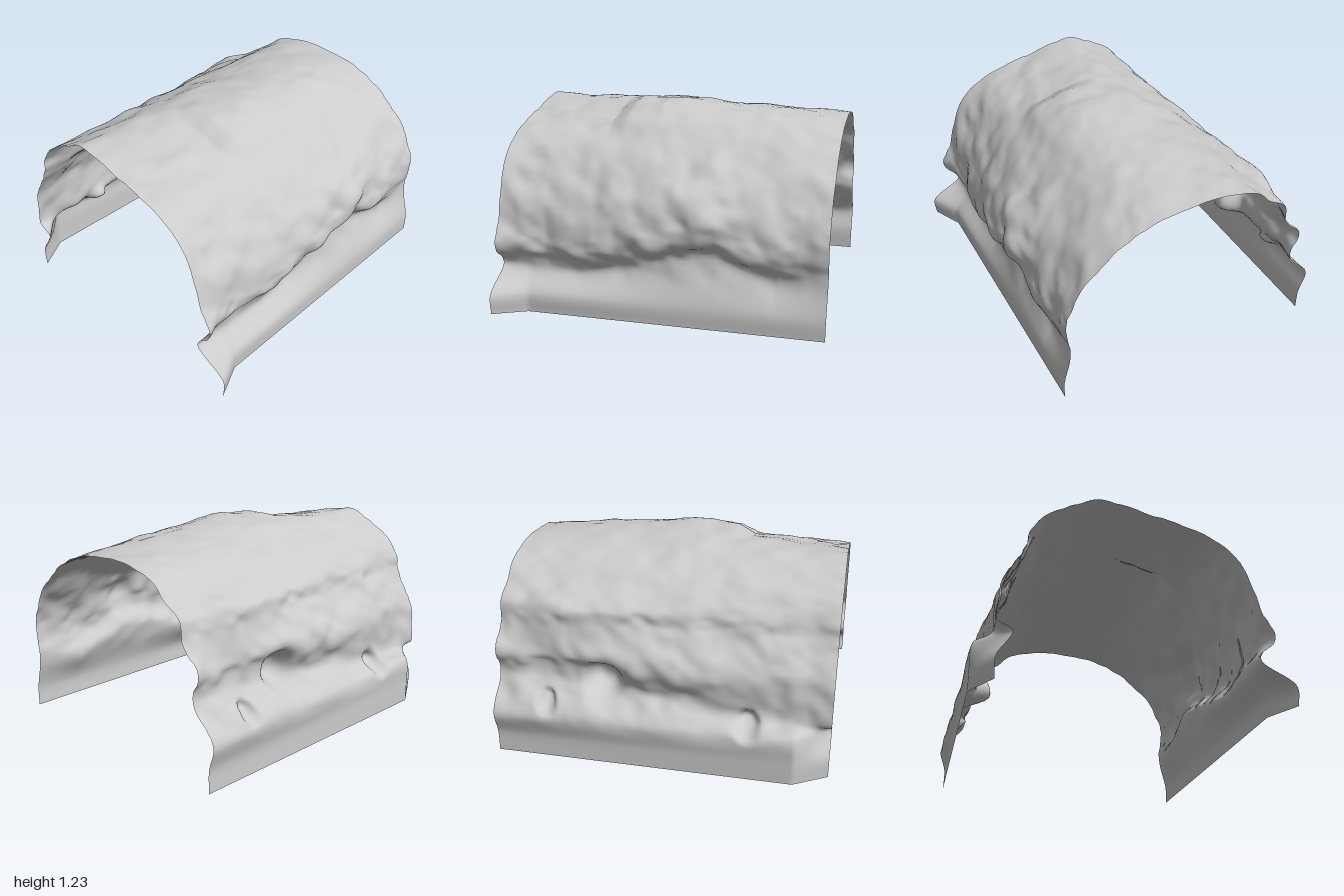
import * as THREE from 'three';

const AROUND = 140, ALONG = 120;
const { lerp, smoothstep } = THREE.MathUtils;

// Value that runs linearly through [z, value] stops
function along(z, stops) {
  let s = 0;
  while (s < stops.length - 2 && z > stops[s + 1][0]) s++;
  const [[z0, v0], [z1, v1]] = [stops[s], stops[s + 1]];
  return lerp(v0, v1, (z - z0) / (z1 - z0));
}

// Arch cross-section at depth z, from the -x foot over the crown to the +x foot
function archCurve(z) {
  const leftFoot = along(z, [[-1, -.88], [.8, -.87], [1, -.75]]);
  const rightFoot = along(z, [[-1, .77], [.8, .81], [1, .91]]);
  const lip = along(z, [[-1, -.03], [.8, .01], [1, .08]]);
  const leftLedge = along(z, [[-1, .49], [0, .42], [1, .34]]);
  const leftWall = along(z, [[-1, -.78], [.1, -.8], [1, -.71]]);
  const shoulder = along(z, [[-1, -.68], [-.6, -.75], [0, -.68], [1, -.6]]);
  const leftCrown = along(z, [[-1, 1.14], [.1, 1.2], [1, 1.18]]);
  const crown = along(z, [[-1, 1.13], [-.2, 1.2], [.1, 1.23], [.3, 1.21], [.4, 1.16], [1, 1.12]]);
  const haunch = along(z, [[-1, .41], [0, .47], [1, .46]]);
  const brow = along(z, [[-1, .64], [-.1, .72], [.7, .65], [1, .67]]);
  const rightWall = along(z, [[-1, .73], [-.2, .8], [.4, .79], [.7, .74], [1, .78]]);
  const ledge = along(z, [[-1, .38], [-.7, .29], [-.35, .42], [-.1, .39], [.2, .3], [.5, .25], [1, .26]]);
  const points = [
    [leftFoot, 0], [leftFoot, .13], [leftFoot + lip, .28], [-.76, leftLedge],
    [leftWall, .62], [shoulder, .82], [shoulder + .02, .92], [-.52, 1.03], [-.37, 1.11],
    [-.18, leftCrown], [.12, crown], [.29, crown - .05], [haunch, 1.02],
    [brow, .79], [rightWall, ledge + .22], [rightWall, ledge + .12],
    [.71, ledge], [rightFoot, .12], [rightFoot, 0],
  ];
  return new THREE.CatmullRomCurve3(points.map(([x, y]) => new THREE.Vector3(x, y, z)), false, 'centripetal');
}

// Smooth value noise in -1..1
function hash(i, j, k) {
  const s = Math.sin(i * 127.1 + j * 311.7 + k * 74.7) * 43758.5453;
  return (s - Math.floor(s)) * 2 - 1;
}
function noise(x, y, z) {
  const [i, j, k] = [x, y, z].map(Math.floor);
  const [u, v, w] = [x - i, y - j, z - k].map((f) => f * f * (3 - 2 * f));
  const edge = (b, c) => lerp(hash(i, j + b, k + c), hash(i + 1, j + b, k + c), u);
  return lerp(lerp(edge(0, 0), edge(1, 0), v), lerp(edge(0, 1), edge(1, 1), v), w);
}

// Hollows pushed inward in the -x wall: height, depth position, radius, push
const hollows = [[.5, -.35, .1, .11], [.36, -.68, .05, .07], [.32, .52, .06, .07]];

function rockPoint(curve, t) {
  const p = curve.getPoint(t);
  const tangent = curve.getTangent(t);

  // Rough rock above the smooth foot, calmer over the crown
  const amp = smoothstep(p.y, .18, .4) * lerp(.04, .018, smoothstep(p.y, .8, 1.1));
  const n = noise(p.x * 5, p.y * 5, p.z * 4) * .4
    + noise(p.x * 9 + 7, p.y * 9, p.z * 7) * .55
    + noise(p.x * 19, p.y * 19 + 3, p.z * 13) * .25;
  p.x -= tangent.y * amp * n;
  p.y += tangent.x * amp * n;

  if (p.x < 0) {
    for (const [y, z, radius, push] of hollows) {
      const d = ((p.y - y) ** 2 + (p.z - z) ** 2) / radius ** 2;
      p.x += push * Math.exp(-d * d);
    }
  }
  return p;
}

export function createModel() {
  const group = new THREE.Group();
  group.name = 'rockTunnel';

  // Loft the open arch along z
  const positions = [], index = [];
  for (let j = 0; j <= ALONG; j++) {
    const curve = archCurve(-1 + 2 * j / ALONG);
    for (let i = 0; i <= AROUND; i++) {
      const p = rockPoint(curve, i / AROUND);
      positions.push(p.x, p.y, p.z);
      if (i < AROUND && j < ALONG) {
        const q = j * (AROUND + 1) + i, r = q + AROUND + 1;
        index.push(q, r, q + 1, r, r + 1, q + 1);
      }
    }
  }
  const geometry = new THREE.BufferGeometry();
  geometry.setAttribute('position', new THREE.Float32BufferAttribute(positions, 3));
  geometry.setIndex(index);
  geometry.computeVertexNormals();

  const shell = new THREE.Mesh(geometry, new THREE.MeshStandardMaterial({ color: 0xcccccc, side: THREE.DoubleSide }));
  shell.name = 'tunnelShell';
  group.add(shell);
  return group;
}
